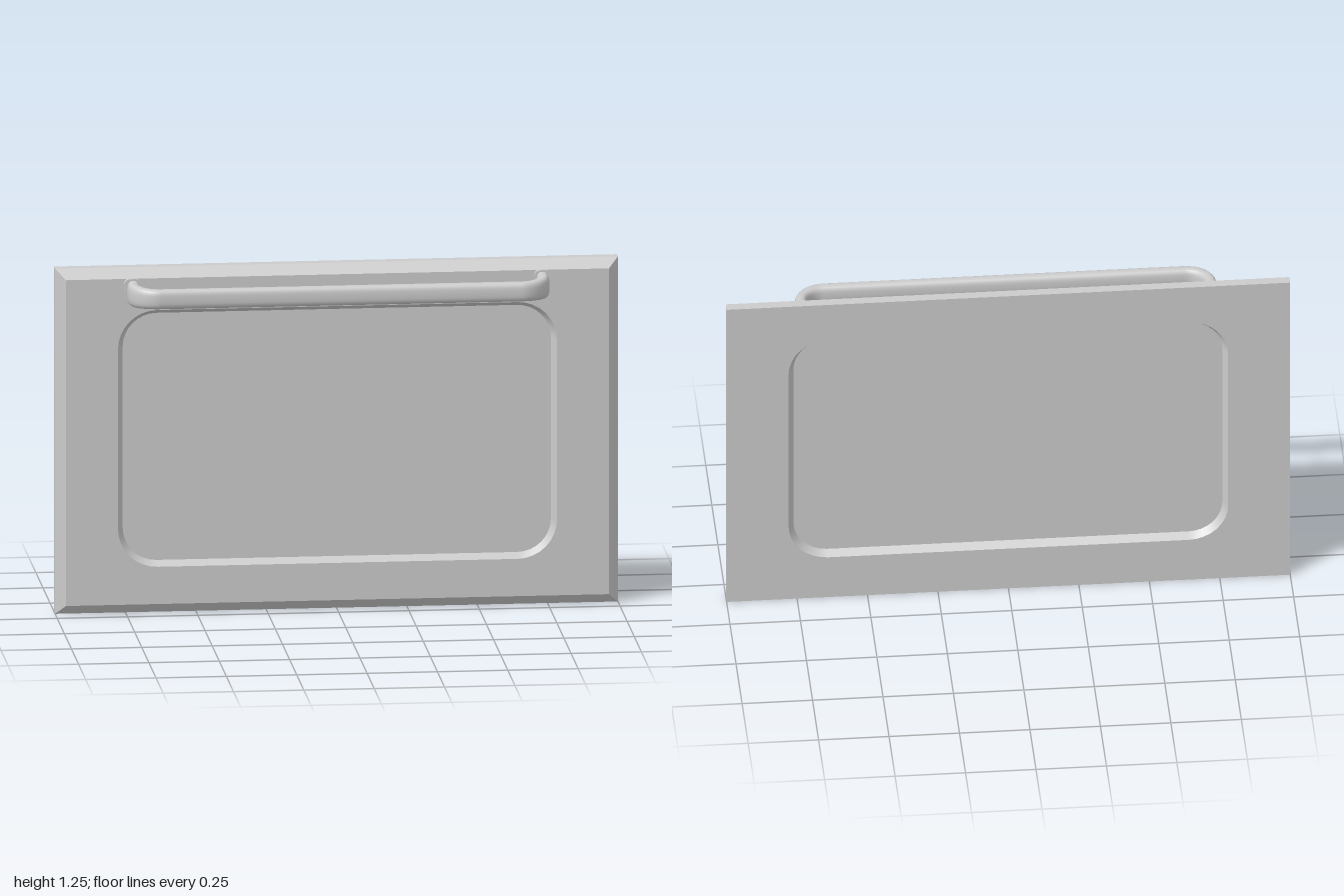
import * as THREE from 'three';
import { toCreasedNormals } from 'three/addons/utils/BufferGeometryUtils.js';

const MID_Y = 0.625; // height of the door's centre
const WINDOW_Y = 0.635; // height of the window's centre
const HANDLE_Y = 1.167;
const material = new THREE.MeshStandardMaterial({ color: 0xcccccc });

// Rounded rectangle outline, counter-clockwise seen from the front
function roundedRect(w, h, r, cy, n = 8) {
  const points = [];
  const corners = [[1, 1], [-1, 1], [-1, -1], [1, -1]];
  corners.forEach(([sx, sy], k) => {
    for (let i = 0; i <= n; i++) {
      const a = (k + i / n) * Math.PI / 2;
      points.push(new THREE.Vector2(
        sx * (w / 2 - r) + r * Math.cos(a), cy + sy * (h / 2 - r) + r * Math.sin(a)));
    }
  });
  return points;
}

function rect(w, h, cy) {
  return [[1, 1], [-1, 1], [-1, -1], [1, -1]].map(([sx, sy]) =>
    new THREE.Vector2(sx * w / 2, cy + sy * h / 2));
}

const atZ = (points, z) => points.map(p => new THREE.Vector3(p.x, p.y, z));

// Skin through a row of closed rings with equal point counts
function loft(rings) {
  const n = rings[0].length, index = [];
  for (let j = 0; j < rings.length - 1; j++) {
    for (let i = 0; i < n; i++) {
      const a = j * n + i, b = j * n + (i + 1) % n;
      index.push(a, b, b + n, a, b + n, a + n);
    }
  }
  const geometry = new THREE.BufferGeometry().setFromPoints(rings.flat());
  geometry.setIndex(index);
  geometry.computeVertexNormals();
  return geometry;
}

// Flat panel facing front or back, with an optional hole
function panel(outline, hole, z, facingBack) {
  const shape = new THREE.Shape(outline);
  if (hole) shape.holes.push(new THREE.Path(hole));
  const geometry = new THREE.ShapeGeometry(shape);
  if (facingBack) {
    geometry.scale(-1, 1, 1).rotateY(0);
    const idx = geometry.index;
    const flipped = [];
    for (let i = 0; i < idx.count; i += 3) flipped.push(idx.getX(i), idx.getX(i + 1), idx.getX(i + 2));
    geometry.setIndex(flipped);
    geometry.computeVertexNormals();
  }
  return geometry.translate(0, 0, z);
}

function add(parent, name, geometry) {
  const mesh = new THREE.Mesh(geometry, material);
  mesh.name = name;
  parent.add(mesh);
  return mesh;
}

function createDoor() {
  const door = new THREE.Group();
  door.name = 'door';
  const full = rect(2, 1.25, MID_Y);
  const inset = rect(1.93, 1.18, MID_Y);
  const opening = roundedRect(1.56, 0.93, 0.14, WINDOW_Y);
  const paneEdge = roundedRect(1.522, 0.895, 0.12, WINDOW_Y + 0.002);

  // Outer edge with a chamfer around the front
  add(door, 'doorEdge', toCreasedNormals(
    loft([atZ(full, -0.11), atZ(full, -0.075), atZ(inset, -0.04)]), 0.5));
  add(door, 'doorFront', panel(inset, opening, -0.04, false));
  add(door, 'doorBack', panel(full, opening, -0.11, true));

  // Sloping window rims on both sides of the pane
  add(door, 'windowRimFront', loft([atZ(opening, -0.04), atZ(paneEdge, -0.065)]));
  add(door, 'windowRimBack', loft([atZ(paneEdge, -0.085), atZ(opening, -0.11)]));
  add(door, 'windowPaneFront', panel(paneEdge, null, -0.065, false));
  add(door, 'windowPaneBack', panel(paneEdge, null, -0.085, true));
  return door;
}

function createHandle() {
  const handle = new THREE.Group();
  handle.name = 'handle';
  const postX = 0.727, barZ = 0.087, bend = 0.087;

  // Path: left post, bend, bar, mirrored bend and post
  const half = [[-postX, -0.035, 0]];
  for (let i = 0; i <= 8; i++) {
    const a = i / 8 * Math.PI / 2;
    half.push([-postX + bend * (1 - Math.cos(a)), barZ - bend * (1 - Math.sin(a)), a]);
  }
  const path = [...half, ...half.slice().reverse().map(([x, z, a]) => [-x, z, Math.PI - a])];

  // Soft-cornered section that gets taller towards the door
  const sides = 24;
  const soft = v => Math.sign(v) * Math.pow(Math.abs(v), 0.7);
  const rings = path.map(([x, z, a]) => {
    const halfHeight = THREE.MathUtils.mapLinear(z, -0.035, barZ, 0.045, 0.035);
    return Array.from({ length: sides }, (_, i) => {
      const t = i / sides * Math.PI * 2;
      const u = 0.0225 * soft(Math.cos(t)), v = halfHeight * soft(Math.sin(t));
      return new THREE.Vector3(x + u * Math.cos(a), HANDLE_Y + v, z - u * Math.sin(a));
    });
  });
  add(handle, 'handleBar', loft(rings));

  // Mounting flanges
  for (const side of [-1, 1]) {
    const shape = new THREE.Shape(roundedRect(0.06, 0.1, 0.02, 0, 5));
    const flange = new THREE.ExtrudeGeometry(shape, { depth: 0.018, bevelEnabled: false });
    add(handle, side < 0 ? 'rightFlange' : 'leftFlange', toCreasedNormals(flange, 0.6))
      .position.set(side * 0.729, HANDLE_Y, -0.042);
  }
  return handle;
}

export function createModel() {
  const model = new THREE.Group();
  model.name = 'ovenDoor';
  model.add(createDoor(), createHandle());
  return model;
}
